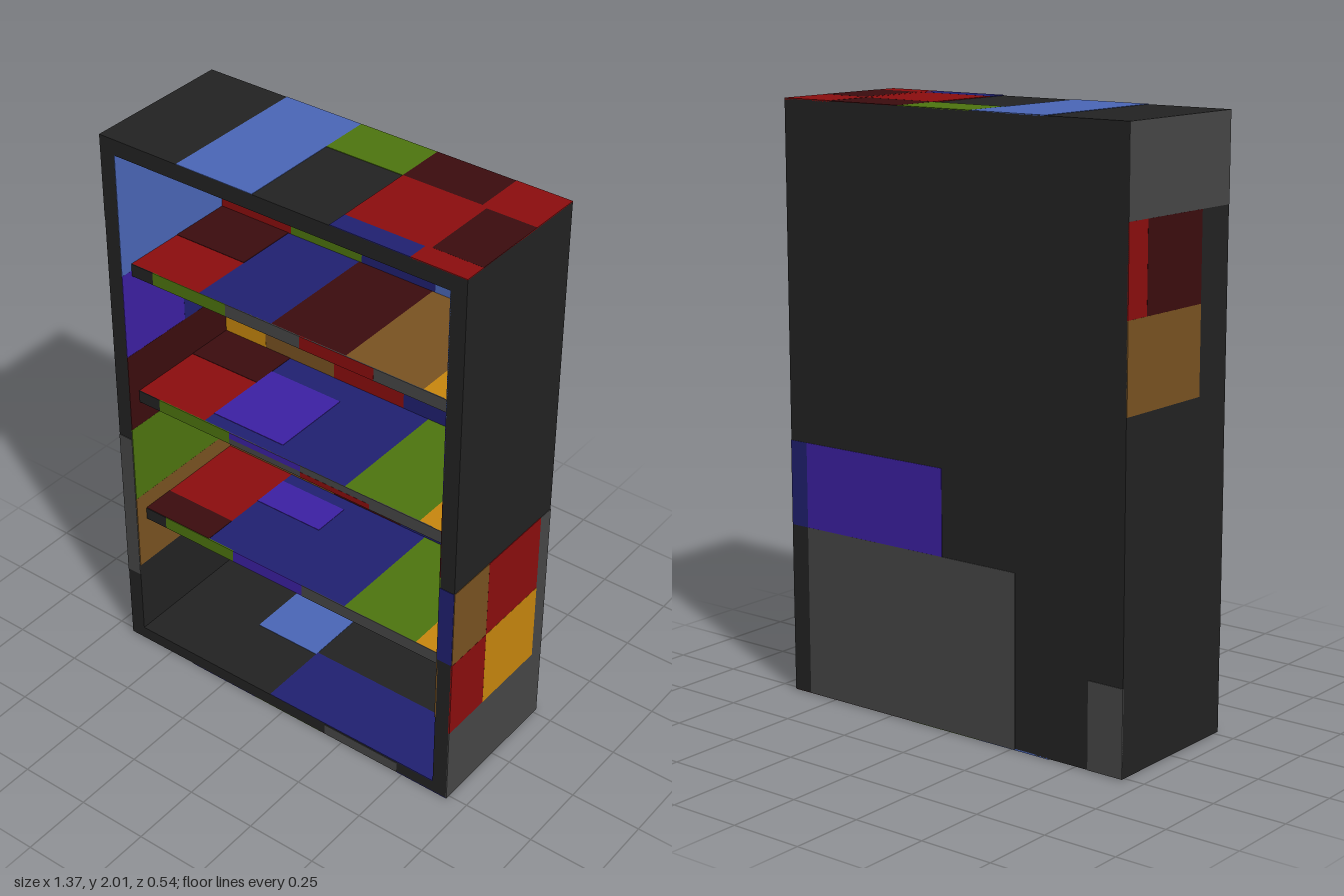
import * as THREE from 'three';

const material = (name, color) => new THREE.MeshStandardMaterial({ name, color });
const M = {
  black: material('black', 0x222222),
  grey: material('grey', 0x464646),
  sky: material('light blue', 0x4a66b6),
  green: material('green', 0x4d740f),
  maroon: material('dark red', 0x3b0c0e),
  red: material('red', 0x8b0d0e),
  navy: material('navy', 0x202070),
  brown: material('brown', 0x795221),
  yellow: material('yellow', 0xc7860e),
  purple: material('purple', 0x3c20a2),
};

const W = 0.68, H = 2, D = 0.267;        // outer half width, height, half depth
const IW = 0.625, FLOOR = 0.045, CEIL = 1.945, BACK = -0.23, LIP = 0.22;

// Box given by its limits along each axis
function box(parent, name, mat, x0, x1, y0, y1, z0, z1) {
  const mesh = new THREE.Mesh(new THREE.BoxGeometry(x1 - x0, y1 - y0, z1 - z0), mat);
  mesh.name = name;
  mesh.position.set((x0 + x1) / 2, (y0 + y1) / 2, (z0 + z1) / 2);
  parent.add(mesh);
}

// Thin painted plates on a plane; tile = [colour, u0, u1, v0, v1].
// u, v are (z, y) on x planes, (x, z) on y planes, (x, y) on z planes.
function paint(parent, name, axis, at, tiles) {
  const group = new THREE.Group();
  group.name = name;
  tiles.forEach(([c, u0, u1, v0, v1], i) => {
    const t = 0.0015 + i * 0.00025; // later tiles lie on top
    const a = at - t, b = at + t, n = name + 'Tile';
    if (axis === 'x') box(group, n, M[c], a, b, v0, v1, u0, u1);
    else if (axis === 'y') box(group, n, M[c], u0, u1, a, b, v0, v1);
    else box(group, n, M[c], u0, u1, v0, v1, a, b);
  });
  parent.add(group);
}

export function createModel() {
  const g = new THREE.Group();
  g.name = 'bookcase';

  // Carcass
  box(g, 'leftSide', M.black, IW, W, 0, H, -D, D);
  box(g, 'rightSide', M.black, -W, -IW, 0, H, -D, D);
  box(g, 'topBoard', M.black, -IW, IW, CEIL, H, -D, D);
  box(g, 'bottomBoard', M.black, -IW, IW, 0, FLOOR, -D, D);
  box(g, 'backPanel', M.black, -IW, IW, FLOOR, CEIL, -D, BACK);

  // Shelves, made of coloured bands across the width
  const cuts = [-IW, -0.345, -0.06, 0.225, 0.51, IW];
  const shelves = [
    { y: 0.51, bands: ['red', 'navy', 'navy', 'green', 'yellow'],
      top: [['maroon', -IW, -0.345, 0.1, LIP], ['purple', -0.345, -0.08, -0.18, -0.04]],
      edge: [['purple', -0.24, 0.05, 0, 0.045], ['grey', 0.05, IW, 0, 0.045]] },
    { y: 1.0, bands: ['red', 'navy', 'navy', 'green', 'yellow'],
      top: [['maroon', -IW, -0.345, BACK, -0.05], ['purple', -0.345, -0.06, -0.13, 0.17]],
      edge: [['grey', -0.24, IW, 0, 0.045], ['purple', -0.24, 0.05, 0.022, 0.045], ['red', 0.05, 0.32, 0, 0.02]] },
    { y: 1.49, bands: ['red', 'navy', 'maroon', 'brown', 'yellow'],
      top: [['maroon', -IW, -0.345, BACK, 0]],
      edge: [['grey', -0.24, IW, 0, 0.045], ['red', 0.05, 0.33, 0, 0.045]] },
  ];
  for (const { y, bands, top, edge } of shelves) {
    const shelf = new THREE.Group();
    shelf.name = 'shelf';
    shelf.position.y = y;
    bands.forEach((c, i) => box(shelf, 'shelfBand', M[c], cuts[i], cuts[i + 1], 0, 0.045, BACK, LIP));
    paint(shelf, 'shelfTop', 'y', 0.045, top);
    paint(shelf, 'shelfEdge', 'z', LIP, [
      ['black', -IW, -0.535, 0, 0.045], ['green', -0.535, -0.24, 0, 0.045], ...edge]);
    g.add(shelf);
  }

  // Inner face of the back panel, one list per compartment
  paint(g, 'backTopBay', 'z', BACK, [
    ['maroon', -IW, -0.335, 1.67, CEIL], ['red', -IW, -0.335, 1.535, 1.67],
    ['green', -0.335, -0.05, 1.535, 1.68], ['navy', -0.05, 0.235, 1.535, CEIL],
    ['sky', 0.235, 0.53, 1.535, 1.68], ['maroon', 0.53, IW, 1.68, CEIL],
    ['navy', 0.53, IW, 1.535, 1.68]]);
  paint(g, 'backUpperBay', 'z', BACK, [
    ['brown', -IW, -0.16, 1.045, 1.49], ['yellow', -IW, -0.45, 1.045, 1.335],
    ['maroon', -0.16, 0.125, 1.335, 1.49], ['red', -0.16, 0.125, 1.045, 1.335],
    ['navy', 0.125, 0.415, 1.045, 1.49], ['yellow', 0.415, IW, 1.045, 1.49]]);
  paint(g, 'backLowerBay', 'z', BACK, [
    ['brown', -IW, -0.16, 0.555, 1.0], ['maroon', -0.16, 0.125, 0.555, 0.98],
    ['maroon', -0.45, -0.16, 0.69, 0.975], ['purple', -0.16, 0.125, 0.975, 1.0],
    ['navy', 0.125, 0.415, 0.555, 1.0], ['red', 0.415, IW, 0.69, 1.0],
    ['yellow', 0.415, IW, 0.555, 0.69]]);
  paint(g, 'backBottomBay', 'z', BACK, [
    ['yellow', -IW, -0.55, 0.405, 0.51], ['maroon', -0.55, 0.02, 0.405, 0.51],
    ['red', -IW, -0.555, 0.11, 0.405], ['purple', -0.55, -0.26, 0.11, 0.405],
    ['purple', 0.025, 0.315, 0.11, 0.405], ['navy', -0.55, 0.315, FLOOR, 0.11],
    ['red', -IW, -0.555, 0.06, 0.11]]);

  // Inner side walls, mirrored
  for (const s of [-1, 1]) {
    paint(g, 'innerWall', 'x', s * IW, [
      ['sky', BACK, D, 1.51, CEIL], ['purple', -0.02, D, 1.2, 1.51],
      ['navy', BACK, -0.02, 1.2, 1.51], ['maroon', BACK, D, 0.91, 1.2],
      ['green', BACK, D, 0.62, 0.91], ['brown', BACK, D, 0.33, 0.62]]);
  }
  paint(g, 'innerFloor', 'y', FLOOR, [
    ['sky', -0.31, -0.055, BACK, 0.01], ['navy', -0.055, IW, 0, D]]);

  // Outer faces
  paint(g, 'frontFrame', 'z', D, [
    ['grey', 0.18, 0.48, 0, 0.04], ['navy', IW, W, 0.58, 0.87], ['grey', -W, -IW, 0.29, 0.87]]);
  paint(g, 'leftOuter', 'x', W, [
    ['grey', -D, D, 0, 0.29], ['grey', -D, -0.21, 0.29, 0.87],
    ['brown', 0.08, D, 0.58, 0.87], ['red', -0.21, 0.08, 0.58, 0.87],
    ['red', 0.08, D, 0.29, 0.58], ['yellow', -0.21, 0.08, 0.29, 0.58]]);
  paint(g, 'rightOuter', 'x', -W, [
    ['grey', -D, D, 1.71, H], ['red', -D, -0.17, 1.42, 1.71],
    ['maroon', -0.17, 0.118, 1.42, 1.71], ['brown', -D, 0.118, 1.13, 1.42]]);
  paint(g, 'backOuter', 'z', -D, [
    ['navy', 0.61, W, 0.58, 0.87], ['purple', 0.03, 0.61, 0.58, 0.87],
    ['grey', -0.265, 0.61, 0, 0.58], ['grey', -W, -0.55, 0, 0.29]]);
  paint(g, 'topOuter', 'y', H, [
    ['sky', -0.375, -0.085, -D, D], ['green', -0.085, 0.2, -D, -0.09],
    ['maroon', 0.2, 0.485, -D, -0.09], ['red', 0.2, 0.485, -0.09, 0.195],
    ['navy', 0.2, 0.485, 0.195, D], ['red', 0.485, W, -D, D],
    ['maroon', 0.505, W, -0.08, 0.19]]);
  paint(g, 'bottomOuter', 'y', 0, [
    ['maroon', 0.165, W, -D, D], ['navy', 0.4, W, 0.16, D],
    ['brown', 0.17, 0.455, -0.12, 0.11], ['green', -0.12, 0.165, -D, D],
    ['sky', -0.4, -0.12, -D, -0.145], ['navy', -0.4, -0.12, 0.15, D]]);

  return g;
}
